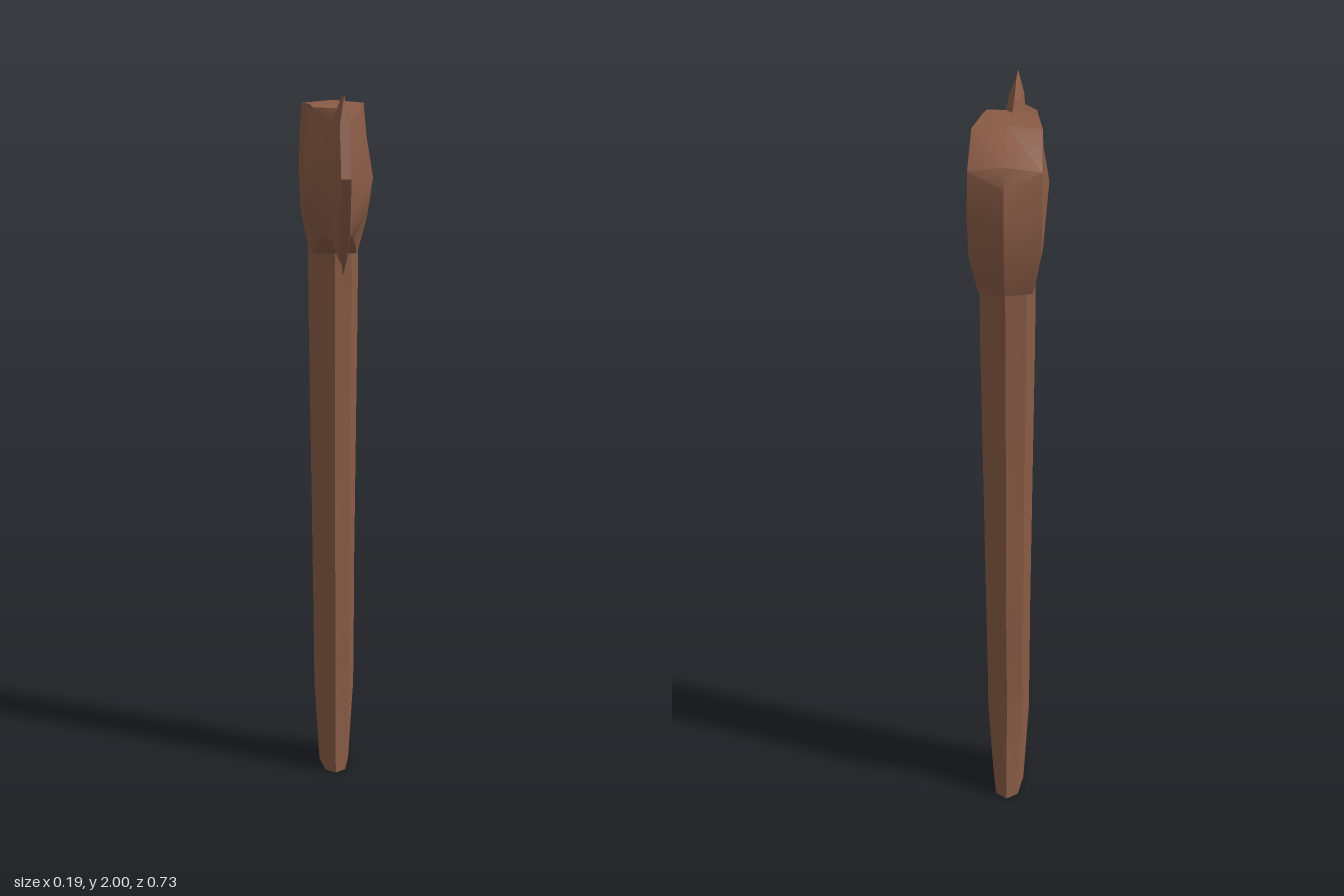
import * as THREE from 'three';
import { toCreasedNormals } from 'three/addons/utils/BufferGeometryUtils.js';

// Mirror a half section (front/top centre -> +x side -> opposite centre) into a closed ring
function mirrorRing(half) {
  const other = half.slice(1, -1).reverse().map(([x, y, z]) => [-x, y, z]);
  return [...half, ...other].map((p) => new THREE.Vector3(...p));
}

// Skin a run of rings, skipping collapsed triangles
function loft(halves, crease) {
  const rings = halves.map(mirrorRing);
  const positions = [];
  const tri = (a, b, c) => {
    const n = b.clone().sub(a).cross(c.clone().sub(a));
    if (n.length() > 1e-8) for (const p of [a, b, c]) positions.push(p.x, p.y, p.z);
  };
  for (let i = 0; i < rings.length - 1; i++) {
    const r = rings[i], s = rings[i + 1], n = r.length;
    for (let j = 0; j < n; j++) {
      const k = (j + 1) % n;
      tri(r[j], s[j], s[k]);
      tri(r[j], s[k], r[k]);
    }
  }
  const geo = new THREE.BufferGeometry();
  geo.setAttribute('position', new THREE.Float32BufferAttribute(positions, 3));
  return toCreasedNormals(geo, crease);
}

export function createModel() {
  const group = new THREE.Group();
  const brown = new THREE.MeshStandardMaterial({ color: 0x8a5c46 });
  brown.name = 'brown';

  // Handle: eight-sided sections from top to bottom [y, front z, back z, half width]
  const handleRows = [
    [1.62, -0.115, -0.31, 0.072],
    [1.4, -0.123, -0.302, 0.071],
    [0.8, -0.119, -0.29, 0.064],
    [0.62, -0.11, -0.295, 0.062],
    [0.36, -0.105, -0.268, 0.06],
    [0.25, -0.103, -0.275, 0.059],
    [0, -0.087, -0.295, 0.044],
  ].map(([y, f, b, w]) => [
    [0, y, f],
    [w * 0.68, y, f - 0.024],
    [w, y, (f + b) / 2],
    [w * 0.72, y, b + 0.024],
    [0, y, b],
  ]);
  // End cap closes onto the centre line
  const bottom = handleRows.at(-1).map(([, y, z]) => [0, y, z]);
  const handle = new THREE.Mesh(loft([...handleRows, bottom], 0.25), brown);
  handle.name = 'handle';
  group.add(handle);

  // Head: half sections from the poll to the cutting edge, each from top to bottom
  const edge = [
    [0, 2.0, 0.278], [0.013, 1.93, 0.31], [0.013, 1.8, 0.368],
    [0.013, 1.67, 0.32], [0.009, 1.6, 0.275], [0, 1.543, 0.236],
  ];
  const headSections = [
    // ridge down the back
    [[0, 1.86, -0.358], [0, 1.86, -0.358], [0, 1.77, -0.361],
      [0, 1.676, -0.364], [0, 1.676, -0.364], [0, 1.676, -0.364]],
    // back corners
    [[0, 1.91, -0.337], [0.09, 1.895, -0.322], [0.092, 1.78, -0.327],
      [0.089, 1.68, -0.325], [0.068, 1.575, -0.292], [0, 1.58, -0.328]],
    // body
    [[0, 1.98, -0.22], [0.087, 1.972, -0.22], [0.094, 1.78, -0.22],
      [0.09, 1.67, -0.22], [0.07, 1.565, -0.22], [0, 1.56, -0.22]],
    [[0, 1.975, -0.09], [0.071, 1.972, -0.09], [0.095, 1.78, -0.09],
      [0.089, 1.67, -0.1], [0.062, 1.562, -0.115], [0, 1.562, -0.115]],
    [[0, 1.955, 0], [0.064, 1.965, -0.01], [0.097, 1.78, -0.01],
      [0.085, 1.69, -0.02], [0.045, 1.615, -0.04], [0, 1.63, -0.04]],
    // neck
    [[0, 1.965, 0.098], [0.024, 1.93, 0.12], [0.034, 1.79, 0.145],
      [0.031, 1.69, 0.13], [0.018, 1.622, 0.105], [0, 1.612, 0.098]],
    // blade
    [[0, 2.0, 0.204], [0.02, 1.95, 0.22], [0.024, 1.8, 0.25],
      [0.022, 1.67, 0.23], [0.013, 1.59, 0.205], [0, 1.565, 0.19]],
    edge,
    edge.map(([, y, z]) => [0, y, z]),
  ];
  const head = new THREE.Mesh(loft(headSections, 0.6), brown);
  head.name = 'axeHead';
  group.add(head);

  return group;
}
